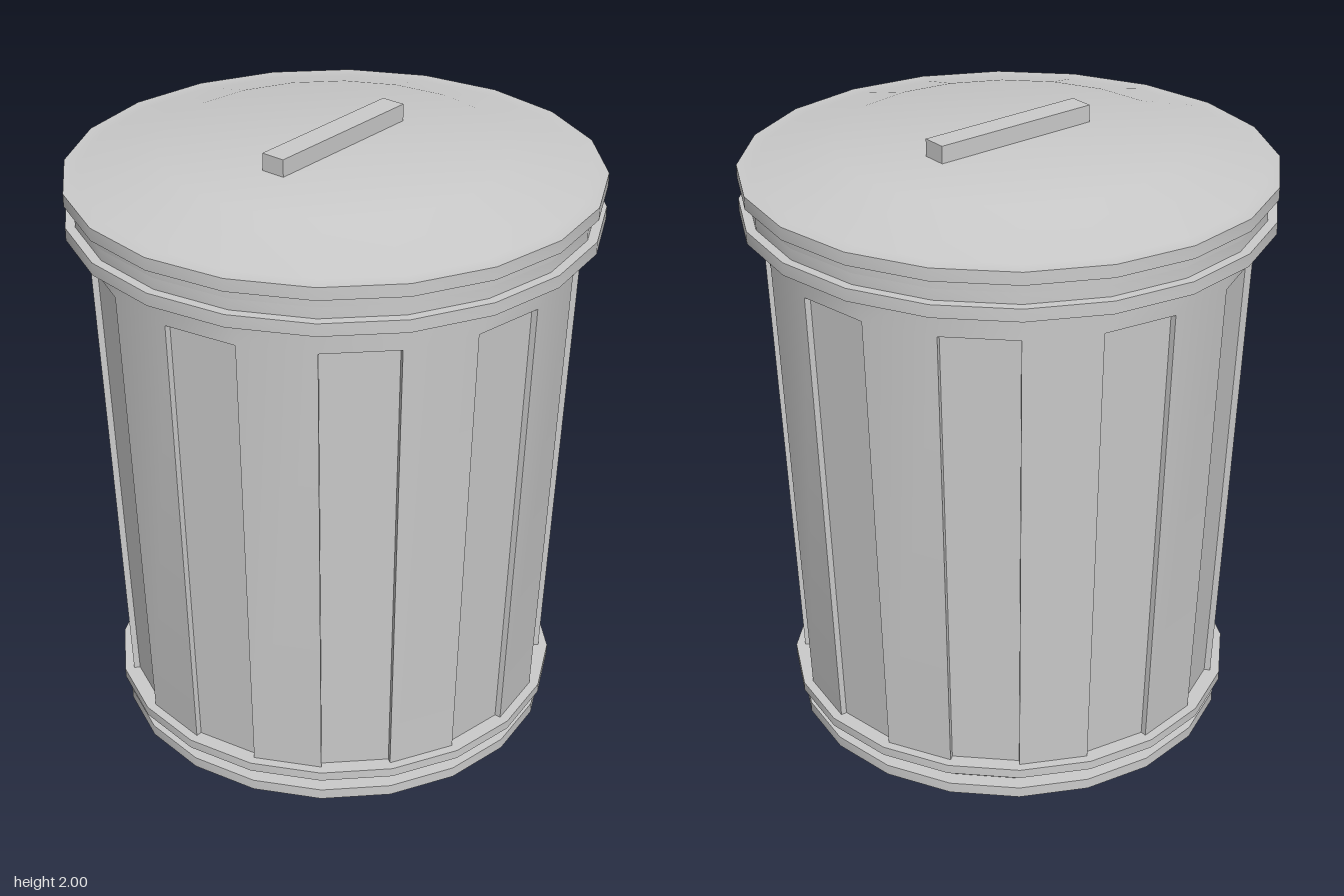
import * as THREE from 'three';
import { toCreasedNormals } from 'three/addons/utils/BufferGeometryUtils.js';

const SIDES = 20;
const material = new THREE.MeshStandardMaterial({ color: 0xcccccc });

function addMesh(group, name, geometry, y = 0) {
  const mesh = new THREE.Mesh(geometry, material);
  mesh.name = name;
  mesh.position.y = y;
  group.add(mesh);
}

// Profile runs from the bottom upwards; 18 degree facets stay smooth
function turned(profile) {
  const points = profile.map(([r, y]) => new THREE.Vector2(r, y));
  return toCreasedNormals(new THREE.LatheGeometry(points, SIDES), 0.45);
}

// Tapered wall in which every other facet is pressed inwards
function wallGeometry() {
  const bottom = 0.1, panelTop = 1.635, top = 1.74, depth = 0.02;
  const radius = (y) => 0.7 + (y - 0.12) * 0.041;
  const positions = [];
  const point = (k, y, inset) => {
    const a = (k / SIDES) * Math.PI * 2, r = radius(y) - inset;
    return [r * Math.sin(a), y, r * Math.cos(a)];
  };
  const quad = (a, b, c, d) => positions.push(...a, ...b, ...c, ...a, ...c, ...d);
  for (let k = 0; k < SIDES; k++) {
    const n = k + 1, inset = k % 2 === 0 ? depth : 0;
    quad(point(k, bottom, inset), point(n, bottom, inset), point(n, panelTop, inset), point(k, panelTop, inset));
    quad(point(k, panelTop, 0), point(n, panelTop, 0), point(n, top, 0), point(k, top, 0));
    if (!inset) continue;
    // Side walls and ceiling of the recess
    quad(point(k, bottom, 0), point(k, bottom, depth), point(k, panelTop, depth), point(k, panelTop, 0));
    quad(point(n, bottom, depth), point(n, bottom, 0), point(n, panelTop, 0), point(n, panelTop, depth));
    quad(point(k, panelTop, depth), point(n, panelTop, depth), point(n, panelTop, 0), point(k, panelTop, 0));
  }
  const geometry = new THREE.BufferGeometry();
  geometry.setAttribute('position', new THREE.Float32BufferAttribute(positions, 3));
  return toCreasedNormals(geometry, 0.45);
}

export function createModel() {
  const group = new THREE.Group();
  group.name = 'trashCan';

  // Foot ring, tapered neck and lower band
  addMesh(group, 'base', turned([
    [0, 0], [0.71, 0], [0.71, 0.035], [0.66, 0.035], [0.69, 0.09],
    [0.73, 0.09], [0.73, 0.12], [0.66, 0.12],
  ]));

  addMesh(group, 'body', wallGeometry());

  // Rolled rim at the mouth of the can
  addMesh(group, 'rim', turned([
    [0.74, 1.725], [0.83, 1.725], [0.83, 1.765], [0.8, 1.765], [0.8, 1.8],
  ]));

  // Lid with a skirt, a projecting lip and a shallow dome
  addMesh(group, 'lid', turned([
    [0.8, 1.8], [0.8, 1.835], [0.83, 1.835], [0.83, 1.875],
    [0.78, 1.875], [0.54, 1.945], [0, 1.945],
  ]));

  addMesh(group, 'handle', new THREE.BoxGeometry(0.08, 0.06, 0.57), 1.97);
  return group;
}
